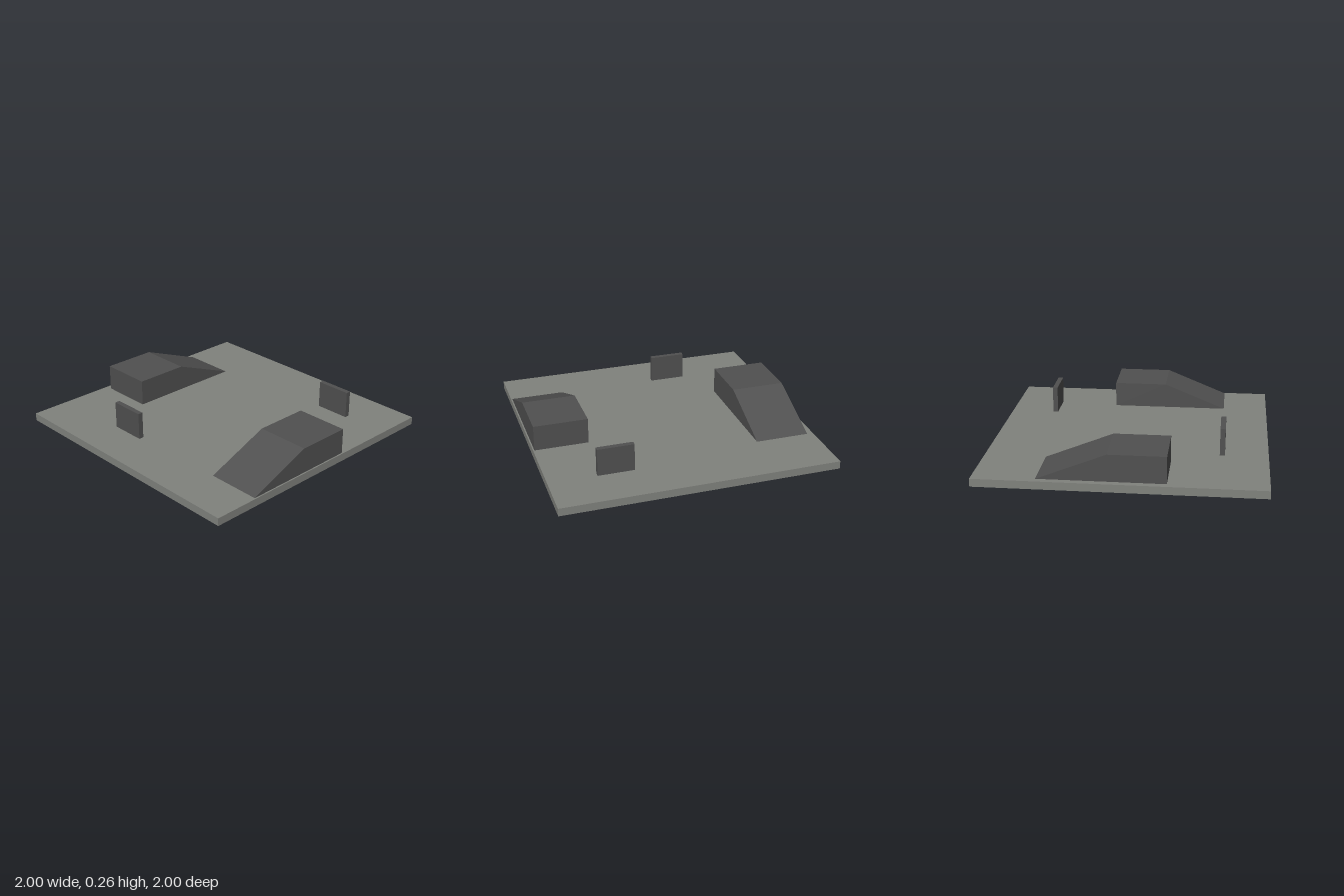
import * as THREE from 'three';

const groundGrey = new THREE.MeshStandardMaterial({ color: 0x80827d });
groundGrey.name = 'groundGrey';
const obstacleGrey = new THREE.MeshStandardMaterial({ color: 0x505050 });
obstacleGrey.name = 'obstacleGrey';

// Box given by its minimum and maximum corners
function block(name, min, max, material) {
  const size = max.map((v, i) => v - min[i]);
  const mesh = new THREE.Mesh(new THREE.BoxGeometry(...size), material);
  mesh.position.set(...max.map((v, i) => (v + min[i]) / 2));
  mesh.name = name;
  return mesh;
}

// Flat-topped platform with one sloping end, extruded along x
function ramp(name, x0, x1, zBack, zCrest, zToe, base, top) {
  const profile = new THREE.Shape([
    new THREE.Vector2(zBack, base),
    new THREE.Vector2(zToe, base),
    new THREE.Vector2(zCrest, top),
    new THREE.Vector2(zBack, top),
  ]);
  const geometry = new THREE.ExtrudeGeometry(profile, { depth: x1 - x0, bevelEnabled: false });
  geometry.rotateY(-Math.PI / 2);
  geometry.translate(x1, 0, 0);
  const mesh = new THREE.Mesh(geometry, obstacleGrey);
  mesh.name = name;
  return mesh;
}

export function createModel() {
  const model = new THREE.Group();
  model.name = 'obstacleArena';
  model.add(
    block('groundSlab', [-1, 0, -1], [1, 0.057, 1], groundGrey),
    // Ramps run in opposite directions
    ramp('leftRamp', 0.595, 0.99, -0.2, 0.2, 0.675, 0.053, 0.245),
    ramp('rightRamp', -0.955, -0.56, 0.32, -0.08, -0.567, 0.055, 0.25),
    // Low upright barriers
    block('frontBarrier', [-0.41, 0.05, 0.655], [-0.148, 0.255, 0.692], obstacleGrey),
    block('backBarrier', [0.39, 0.05, -0.677], [0.653, 0.257, -0.64], obstacleGrey),
  );
  return model;
}
